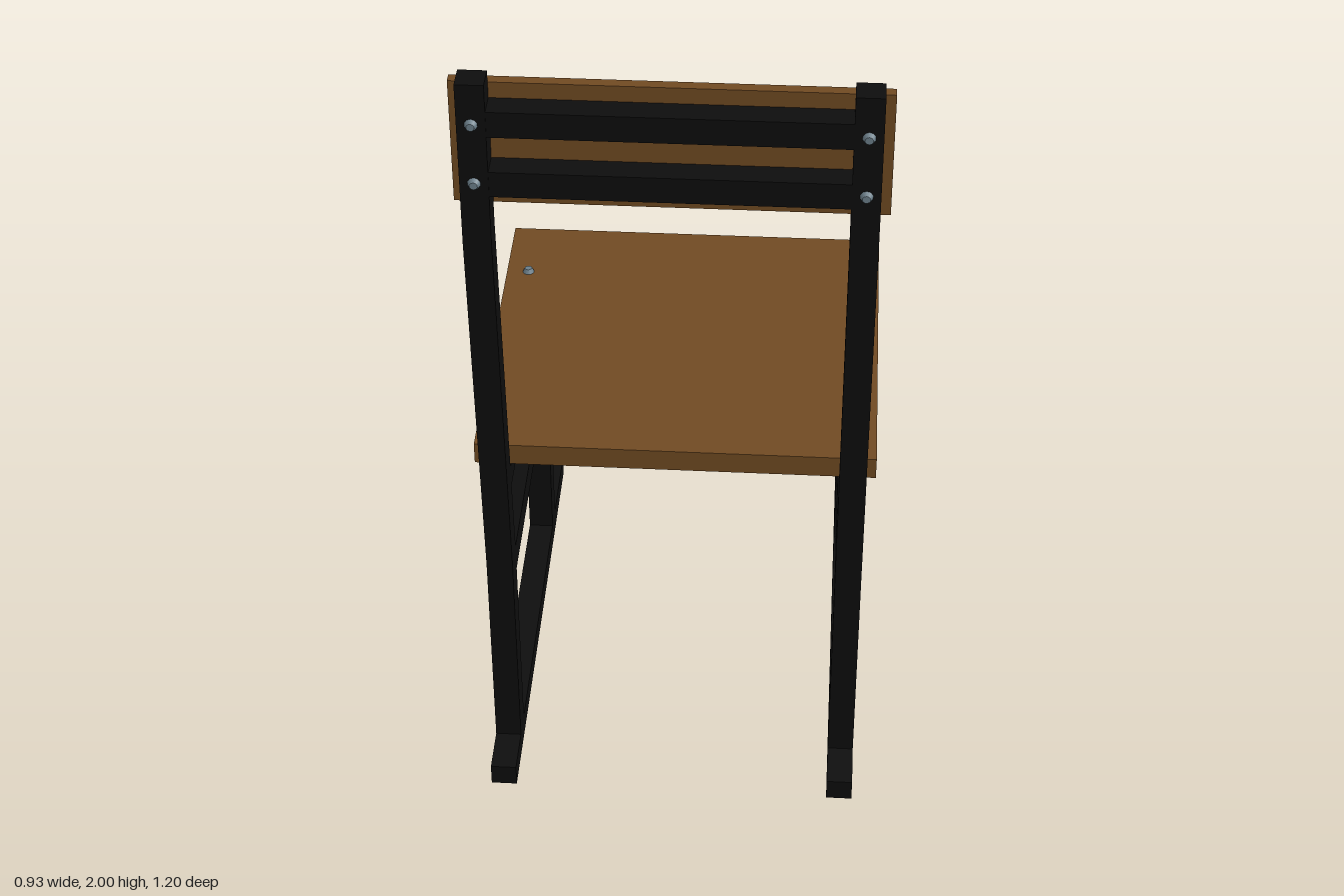
import * as THREE from 'three';

const mat = (name, color) => {
  const m = new THREE.MeshStandardMaterial({ color });
  m.name = name;
  return m;
};

export function createModel() {
  const wood = mat('brown wood', 0x704a22);
  const steel = mat('black steel', 0x0d0d0d);
  const boltMetal = mat('bolt metal', 0x6c7f8a);
  const chair = new THREE.Group();
  chair.name = 'chair';

  const add = (parent, name, geometry, material) => {
    const mesh = new THREE.Mesh(geometry, material);
    mesh.name = name;
    parent.add(mesh);
    return mesh;
  };

  // Box given by its limits on each axis
  const box = (parent, name, material, [x0, x1], [y0, y1], [z0, z1]) =>
    add(parent, name, new THREE.BoxGeometry(x1 - x0, y1 - y0, z1 - z0), material)
      .position.set((x0 + x1) / 2, (y0 + y1) / 2, (z0 + z1) / 2);

  // Bolt head, slightly tapered towards the outside along its axis
  const bolt = (name, position, direction) => {
    const mesh = add(chair, name, new THREE.CylinderGeometry(0.009, 0.015, 0.012, 10), boltMetal);
    mesh.position.set(...position);
    mesh.quaternion.setFromUnitVectors(new THREE.Vector3(0, 1, 0), new THREE.Vector3(...direction));
  };

  // Bent rear post, drawn from the side as (z, y)
  const postShape = new THREE.Shape([
    [0.42, 0.05], [0.486, 0.05], [0.486, 0.62], [0.56, 1.6], [0.56, 2],
    [0.5, 2], [0.5, 1.62], [0.42, 0.62],
  ].map(([z, y]) => new THREE.Vector2(z, y)));
  const postGeometry = new THREE.ExtrudeGeometry(postShape, { depth: 0.062, bevelEnabled: false });
  postGeometry.translate(0, 0, -0.031).rotateY(-Math.PI / 2);

  // Two mirrored side frames
  for (const side of [-1, 1]) {
    const frame = new THREE.Group();
    frame.name = side > 0 ? 'leftFrame' : 'rightFrame';
    frame.position.x = side * 0.413;
    chair.add(frame);
    const w = [-0.031, 0.031];
    box(frame, 'footRunner', steel, w, [0, 0.056], [-0.6, 0.6]);
    box(frame, 'frontLeg', steel, w, [0.056, 0.884], [-0.37, -0.306]);
    box(frame, 'middleRail', steel, w, [0.552, 0.622], [-0.306, 0.425]);
    box(frame, 'seatRail', steel, w, [0.826, 0.884], [-0.306, 0.455]);
    add(frame, 'rearPost', postGeometry, steel);

    // Seat bolts above and below
    for (const z of [-0.262, 0.355]) {
      bolt('seatBolt', [side * 0.413, 0.944, z], [0, 1, 0]);
      bolt('seatBoltEnd', [side * 0.413, 0.821, z], [0, -1, 0]);
    }
    // Backrest bolts on both faces
    for (const y of [1.757, 1.903]) {
      bolt('backrestBolt', [side * 0.413, y, 0.47], [0, 0, -1]);
      bolt('backrestBoltEnd', [side * 0.413, y, 0.565], [0, 0, 1]);
    }
  }

  // Wooden seat and backrest
  box(chair, 'seat', wood, [-0.467, 0.467], [0.884, 0.939], [-0.45, 0.428]);
  box(chair, 'backrest', wood, [-0.467, 0.467], [1.672, 1.972], [0.475, 0.5]);

  // Cross rails between the rear posts
  for (const y of [1.754, 1.903])
    box(chair, 'crossRail', steel, [-0.384, 0.384], [y - 0.031, y + 0.031], [0.5, 0.558]);

  return chair;
}
